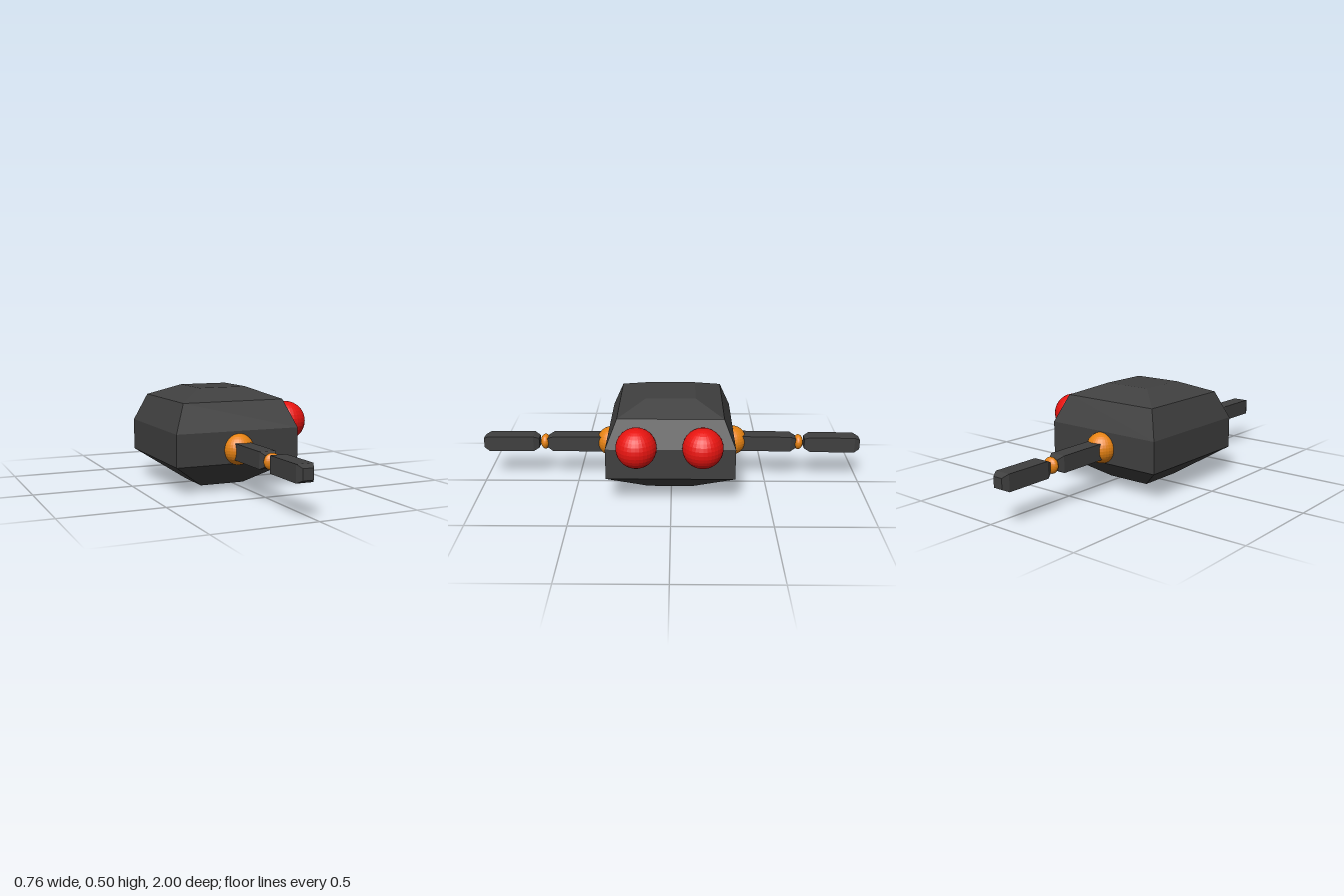
import * as THREE from 'three';

const CX = -0.058; // centre line of body and arms

const paint = (color) => new THREE.MeshStandardMaterial({ color, flatShading: true });

// Square-section solid along y from [half width, y] pairs, bottom to top
function squareLoft(sections) {
  const pts = sections.map(([h, y]) => new THREE.Vector2(h * Math.SQRT2, y));
  pts.unshift(new THREE.Vector2(0, pts[0].y));
  pts.push(new THREE.Vector2(0, pts[pts.length - 1].y));
  return new THREE.LatheGeometry(pts, 4, Math.PI / 4);
}

export function createModel() {
  const model = new THREE.Group();
  const dark = paint(0x404040);
  const red = paint(0xe81410);
  const orange = paint(0xe68212);
  const sphere = new THREE.SphereGeometry(1, 32, 16);

  function add(parent, name, geometry, material, x, y, z) {
    const mesh = new THREE.Mesh(geometry, material);
    mesh.name = name;
    mesh.position.set(x, y, z);
    parent.add(mesh);
    return mesh;
  }

  // Faceted body
  add(model, 'body', squareLoft([
    [0.118, 0], [0.325, 0.14], [0.325, 0.3], [0.267, 0.44], [0.126, 0.498],
  ]), dark, CX, 0, 0.003);

  // Pair of eyes on the +x side
  for (const [name, z] of [['frontEye', 0.172], ['backEye', -0.157]]) {
    add(model, name, sphere, red, 0.28, 0.315, z).scale.setScalar(0.102);
  }

  // Bevelled bar with its length along z
  const bar = (length) => {
    const e = length / 2;
    return squareLoft([
      [0.026, -e], [0.041, -e + 0.03], [0.041, e - 0.03], [0.026, e],
    ]).rotateX(Math.PI / 2);
  };
  const upperBar = bar(0.34);
  const lowerBar = bar(0.295);

  // Two jointed arms, front and back; the back one droops slightly
  for (const [name, side, y, tilt] of [['frontArm', 1, 0.206, 0], ['backArm', -1, 0.213, 0.014]]) {
    const arm = new THREE.Group();
    arm.name = name;
    arm.position.set(CX, y, 0.32 * side);
    arm.rotation.x = side * tilt;
    add(arm, 'shoulder', sphere, orange, 0, 0.004, 0).scale.setScalar(0.078);
    add(arm, 'upperArm', upperBar, dark, 0, 0, 0.17 * side);
    add(arm, 'elbow', sphere, orange, 0, 0, 0.355 * side).scale.set(0.04, 0.04, 0.025);
    add(arm, 'forearm', lowerBar, dark, 0, 0, 0.5325 * side);
    model.add(arm);
  }

  return model;
}
